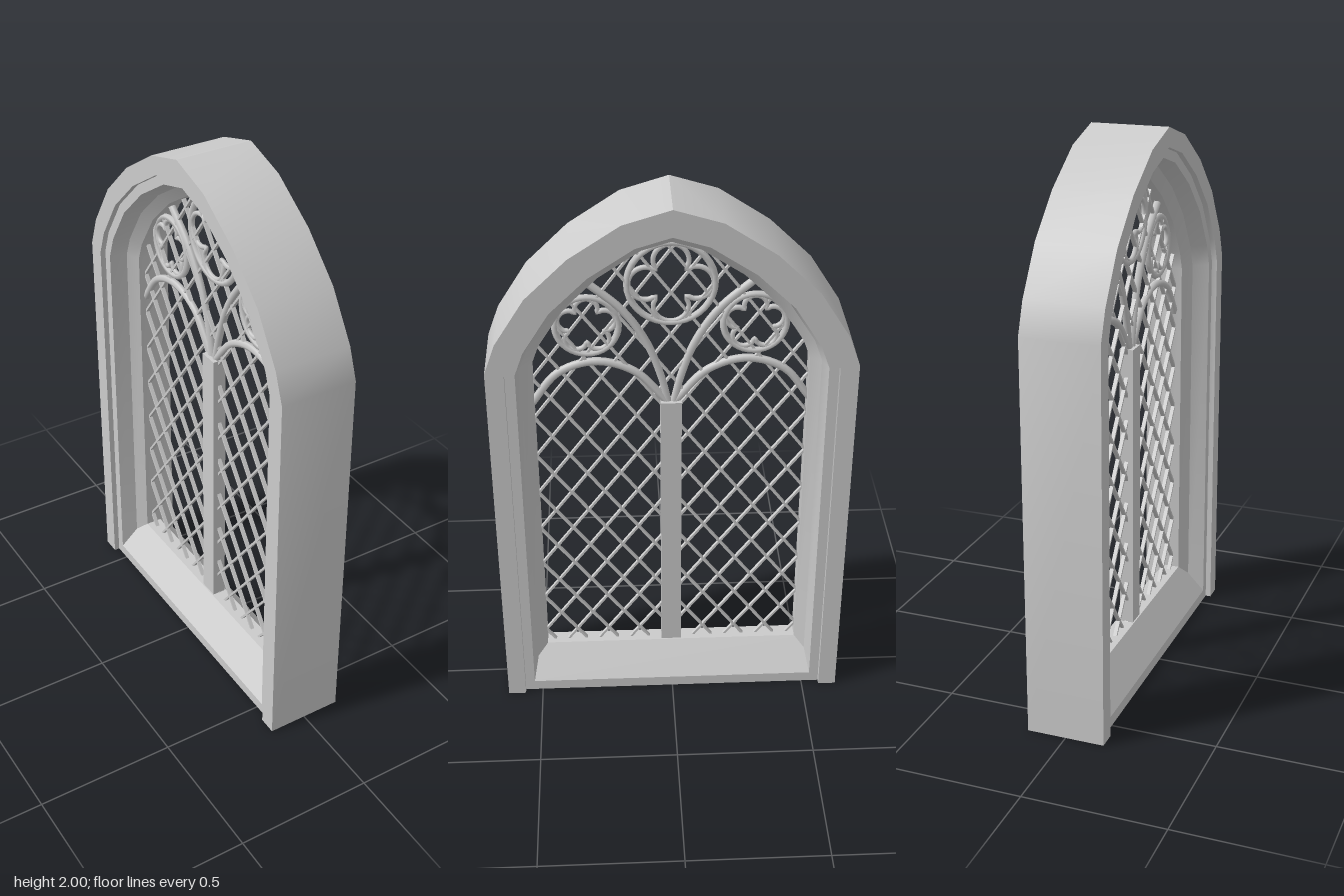
import * as THREE from 'three';
import { toCreasedNormals } from 'three/addons/utils/BufferGeometryUtils.js';

const stone = new THREE.MeshStandardMaterial({ color: 0xcccccc });
const W = 0.63; // half width of the whole window

// Outline of the arch, from one foot over the point to the other
const half = [[W, 0], [W, 1.42], [0.59, 1.53], [0.485, 1.695], [0.34, 1.835], [0.165, 1.95]];
const outline = [...half, [0, 2], ...half.slice().reverse().map(([x, y]) => [-x, y])]
  .map(([x, y]) => new THREE.Vector2(x, y));

// Section of the frame: inset from the outline, depth
const front = [[0, 0.14], [0.065, 0.14], [0.065, 0.12], [0.1, 0.12], [0.117, 0.06], [0.154, 0.03]];
const section = [...front, ...front.slice().reverse().map(([d, w]) => [d, -w])];

// Move the outline inwards by d with mitred corners
function inset(d) {
  const normal = i => {
    const e = outline[i + 1].clone().sub(outline[i]).normalize();
    return new THREE.Vector2(-e.y, e.x);
  };
  return outline.map((p, i) => {
    const a = normal(Math.max(i - 1, 0));
    const b = normal(Math.min(i, outline.length - 2));
    return p.clone().addScaledVector(a.clone().add(b), d / (1 + a.dot(b)));
  });
}

function add(parent, name, geometry, x = 0, y = 0, z = 0) {
  const mesh = new THREE.Mesh(geometry, stone);
  mesh.name = name;
  mesh.position.set(x, y, z);
  parent.add(mesh);
  return mesh;
}

// Sweep the section along the outline
function frameGeometry() {
  const n = section.length;
  const rings = section.map(([d]) => inset(d));
  const pos = [], index = [];
  for (let i = 0; i < outline.length; i++) {
    for (let j = 0; j < n; j++) pos.push(rings[j][i].x, rings[j][i].y, section[j][1]);
  }
  for (let i = 0; i < outline.length - 1; i++) {
    for (let j = 0; j < n; j++) {
      const k = (j + 1) % n;
      const a = i * n + j, b = a + n, c = i * n + k, d = c + n;
      index.push(a, b, c, b, d, c);
    }
  }
  const g = new THREE.BufferGeometry();
  g.setAttribute('position', new THREE.Float32BufferAttribute(pos, 3));
  g.setIndex(index);
  return toCreasedNormals(g, 0.5);
}

function rib(points, radius, closed = false, steps = 28) {
  const curve = new THREE.CatmullRomCurve3(
    points.map(([x, y]) => new THREE.Vector3(x, y, 0)), closed, 'centripetal');
  return new THREE.TubeGeometry(curve, steps, radius, 6, closed);
}

// Ring with a lobed foil inside
function roundel(parent, name, x, y, radius, lobes, c, a) {
  const g = new THREE.Group();
  g.name = name;
  g.position.set(x, y, 0);
  add(g, 'ring', new THREE.TorusGeometry(radius - 0.012, 0.012, 6, 36));
  const pts = [], per = 12, step = (2 * Math.PI) / lobes;
  for (let i = 0; i < lobes * per; i++) {
    const phi = ((i % per) / per - 0.5) * step;
    const r = c * Math.cos(phi) + Math.sqrt(a * a - (c * Math.sin(phi)) ** 2);
    const t = Math.PI / 2 + Math.floor(i / per) * step + phi;
    pts.push([r * Math.cos(t), r * Math.sin(t)]);
  }
  add(g, 'foil', rib(pts, 0.009, true, lobes * per * 2));
  parent.add(g);
}

// Clip an endless line to the convex opening
function clipLine(p, dir, poly) {
  let t0 = -9, t1 = 9;
  poly.forEach((a, i) => {
    const e = poly[(i + 1) % poly.length].clone().sub(a);
    const den = e.cross(dir), num = e.cross(p.clone().sub(a));
    if (Math.abs(den) < 1e-9) { if (num < 0) t1 = -9; return; }
    if (den > 0) t0 = Math.max(t0, -num / den);
    else t1 = Math.min(t1, -num / den);
  });
  return t1 - t0 > 0.02 ? [t0, t1] : null;
}

// Diamond lattice filling the opening
function lattice(parent) {
  const g = new THREE.Group();
  g.name = 'lattice';
  const opening = inset(0.15);
  opening[0].y = opening[opening.length - 1].y = 0.15;
  for (const s of [1, -1]) {
    const dir = new THREE.Vector2(0.12 * s, 0.16).normalize();
    for (let i = -20; i <= 20; i++) {
      const p = new THREE.Vector2(i * 0.12, 1);
      const t = clipLine(p, dir, opening);
      if (!t) continue;
      const mid = p.addScaledVector(dir, (t[0] + t[1]) / 2);
      const bar = add(g, 'latticeBar', new THREE.BoxGeometry(0.008, t[1] - t[0], 0.014), mid.x, mid.y, 0);
      bar.rotation.z = -Math.atan2(dir.x, dir.y);
    }
  }
  parent.add(g);
}

export function createModel() {
  const model = new THREE.Group();
  model.name = 'archedWindow';
  const win = new THREE.Group();
  win.name = 'window';
  win.rotation.y = Math.PI / 2; // the window faces sideways
  model.add(win);

  add(win, 'frame', frameGeometry());

  // Undersides of the two jambs
  for (const s of [1, -1]) {
    const shape = new THREE.Shape(section.map(([d, w]) => new THREE.Vector2(s * (W - d), w)));
    add(win, 'jambFoot', new THREE.ShapeGeometry(shape).rotateX(Math.PI / 2));
  }

  // Sill sloping down to both faces
  const sill = new THREE.Shape([[-0.12, 0], [0.12, 0], [0.12, 0.04], [0.03, 0.155], [-0.03, 0.155], [-0.12, 0.04]]
    .map(([x, y]) => new THREE.Vector2(x, y)));
  add(win, 'sill', new THREE.ExtrudeGeometry(sill, { depth: 1.062, bevelEnabled: false })
    .translate(0, 0, -0.531).rotateY(Math.PI / 2));

  add(win, 'mullion', new THREE.BoxGeometry(0.074, 1.08, 0.05), 0, 0.68, 0);

  // Tracery ribs and side roundels, mirrored
  for (const s of [1, -1]) {
    const flip = pts => pts.map(([x, y]) => [s * x, y]);
    add(win, 'lightArch', rib(flip([[0.485, 1.22], [0.39, 1.34], [0.26, 1.382], [0.127, 1.34], [0.012, 1.215]]), 0.014));
    add(win, 'branchRib', rib(flip([[0.01, 1.215], [0.035, 1.32], [0.085, 1.455], [0.165, 1.577], [0.29, 1.69]]), 0.014));
    roundel(win, 'sideRoundel', s * 0.286, 1.52, 0.12, 5, 0.063, 0.039);
  }
  roundel(win, 'topRoundel', 0, 1.675, 0.16, 4, 0.083, 0.06);

  lattice(win);
  return model;
}
